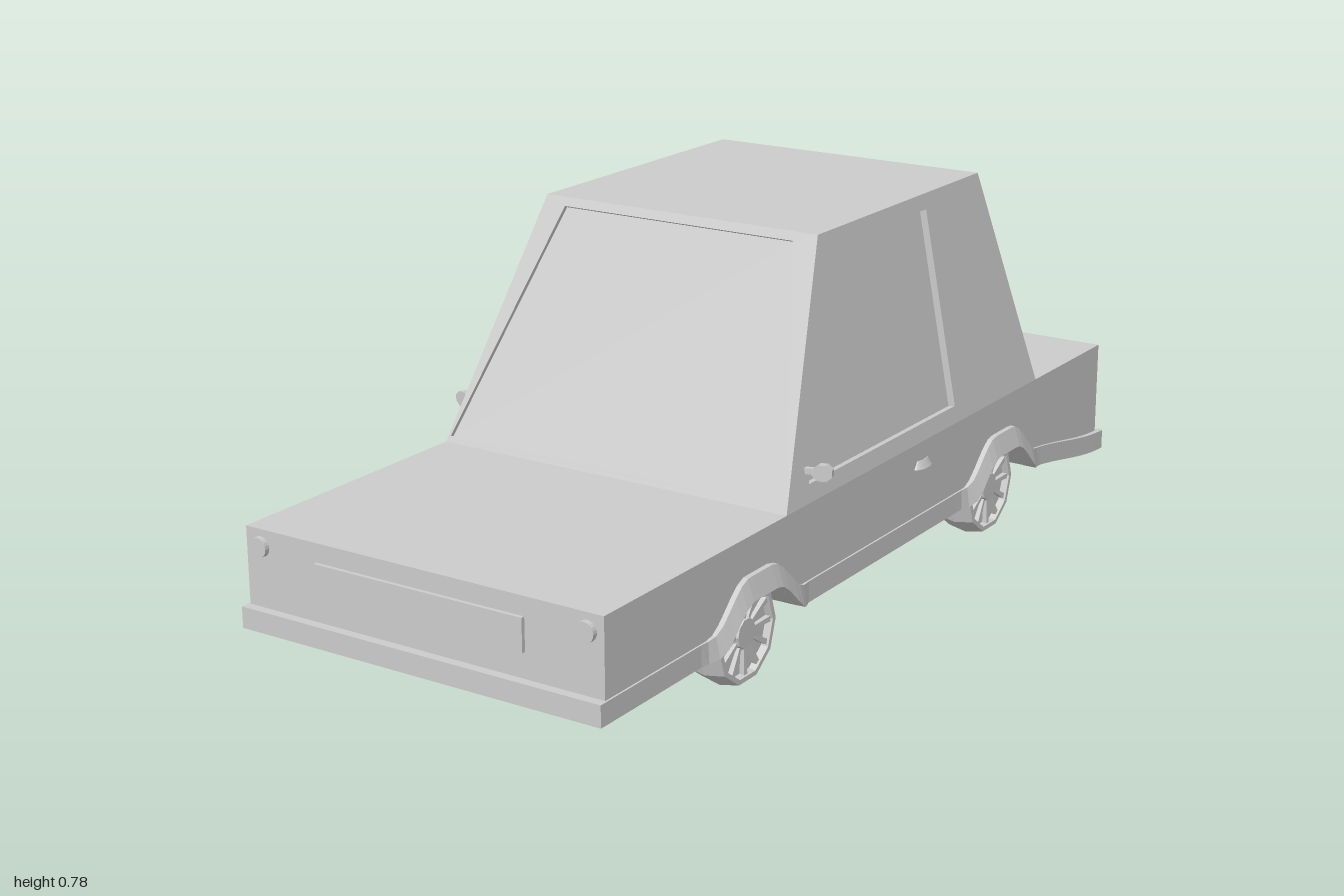
import * as THREE from 'three';

const mat = new THREE.MeshStandardMaterial({ color: 0xcccccc, flatShading: true });
const openMat = new THREE.MeshStandardMaterial({ color: 0xcccccc, flatShading: true, side: THREE.DoubleSide });
const axleZ = [0.5, -0.48];
const ease = (t) => THREE.MathUtils.smoothstep(t, 0, 1);
const wheelDist = (z) => Math.min(...axleZ.map((a) => Math.abs(z - a)));

// Lower edge of the body: flat, dropping towards the tail, lifted over the wheels
const tail = (z) => ease((-0.58 - z) / 0.42);
const floorY = (z) => 0.112 - 0.052 * tail(z);
const sillY = (z) => floorY(z) + 0.082 * ease((0.165 - wheelDist(z)) / 0.125);

function add(parent, name, geometry, x = 0, y = 0, z = 0, material = mat) {
  const mesh = new THREE.Mesh(geometry, material);
  mesh.name = name;
  mesh.position.set(x, y, z);
  parent.add(mesh);
  return mesh;
}

function box(parent, name, x0, x1, y0, y1, z0, z1) {
  return add(parent, name, new THREE.BoxGeometry(x1 - x0, y1 - y0, z1 - z0),
    (x0 + x1) / 2, (y0 + y1) / 2, (z0 + z1) / 2);
}

// Geometry from quads, each with its corners anticlockwise from outside
function fromQuads(quads) {
  const pos = [];
  for (const [a, b, c, d] of quads) for (const p of [a, b, c, a, c, d]) pos.push(...p);
  const g = new THREE.BufferGeometry();
  g.setAttribute('position', new THREE.Float32BufferAttribute(pos, 3));
  g.computeVertexNormals();
  return g;
}

// Slice of the body between two x positions, cut from its side profile
function bodySlice(x0, x1, lower) {
  const pts = [[0.981, 0.31], [-0.968, 0.31]];
  const n = 96;
  for (let i = 0; i <= n; i++) {
    const z = -0.968 + (1.949 * i) / n;
    pts.push([z, lower(z)]);
  }
  const shape = new THREE.Shape(pts.map((p) => new THREE.Vector2(...p)));
  const g = new THREE.ExtrudeGeometry(shape, { depth: x1 - x0, bevelEnabled: false });
  return g.rotateY(-Math.PI / 2).translate(x1, 0, 0);
}

// Trim strip along one side, flaring outwards around the wheels
function sillStrip(s) {
  const rings = [];
  const n = 96;
  for (let i = 0; i <= n; i++) {
    const z = -0.983 + (1.983 * i) / n;
    const y = sillY(z);
    const flare = 0.02 * ease((0.185 - wheelDist(z)) / 0.06);
    const w = 0.409 + 0.008 * tail(z);
    const ring = [[0.39, y, z], [w + flare, y, z], [w + flare * 0.35, y + 0.043, z], [0.39, y + 0.043, z]];
    rings.push(s > 0 ? ring : ring.map(([x, b, c]) => [-x, b, c]).reverse());
  }
  const quads = [[...rings[0]].reverse(), rings[n]];
  for (let i = 0; i < n; i++) for (let j = 0; j < 4; j++) {
    const k = (j + 1) % 4;
    quads.push([rings[i][j], rings[i][k], rings[i + 1][k], rings[i + 1][j]]);
  }
  return fromQuads(quads);
}

// Cabin wall with a recessed window
function windowPanel(outer, hole, depth) {
  const v = outer.map((p) => new THREE.Vector3(...p));
  const normal = v[1].clone().sub(v[0]).cross(v[3].clone().sub(v[0])).normalize();
  const inner = hole.map((p) => new THREE.Vector3(...p).addScaledVector(normal, -depth).toArray());
  const quads = [inner];
  for (let i = 0; i < 4; i++) {
    const k = (i + 1) % 4;
    quads.push([outer[i], outer[k], hole[k], hole[i]], [hole[i], hole[k], inner[k], inner[i]]);
  }
  return fromQuads(quads);
}

// Bowed pull handle, facing +z, narrower and closer to the body at its top
function pullHandle(width, height, out) {
  const outer = [], inner = [];
  for (let i = 0; i <= 8; i++) {
    const a = (Math.PI * i) / 8;
    const x = (Math.cos(a) * width) / 2;
    outer.push(new THREE.Vector2(x, out * Math.sin(a)));
    inner.unshift(new THREE.Vector2(x * 0.88, out * 0.72 * Math.sin(a)));
  }
  const g = new THREE.ExtrudeGeometry(new THREE.Shape([...outer, ...inner]), { depth: height, bevelEnabled: false });
  g.rotateX(Math.PI / 2);
  const p = g.attributes.position;
  for (let i = 0; i < p.count; i++) {
    const top = 1 + p.getY(i) / height;
    p.setX(i, p.getX(i) * (1 - 0.33 * top));
    p.setZ(i, p.getZ(i) * (1 - 0.55 * top));
  }
  g.computeVertexNormals();
  return g.translate(0, height / 2, 0);
}

// Ten-sided wheel whose outer face looks along +x
function makeWheel() {
  const wheel = new THREE.Group();
  const profile = [[0, -0.041], [0.098, -0.041], [0.106, 0], [0.098, 0.041], [0.088, 0.041], [0.086, 0.026], [0, 0.026]];
  const tyre = new THREE.LatheGeometry(profile.map((p) => new THREE.Vector2(...p)), 10);
  add(wheel, 'tyre', tyre.rotateZ(-Math.PI / 2));
  add(wheel, 'hub', new THREE.CylinderGeometry(0.03, 0.034, 0.014, 10).rotateZ(-Math.PI / 2), 0.032);
  for (let i = 0; i < 12; i++) {
    const spoke = new THREE.CylinderGeometry(0.008, 0.005, 0.06, 4).rotateY(Math.PI / 4);
    spoke.translate(0, 0.057, 0).rotateX((i / 12) * Math.PI * 2);
    add(wheel, 'spoke', spoke, 0.031);
  }
  return wheel;
}

export function createModel() {
  const car = new THREE.Group();
  car.name = 'car';

  // Lower body: middle section, and side sections with wheel arches
  add(car, 'bodyCentre', bodySlice(-0.25, 0.25, floorY));
  add(car, 'bodySideLeft', bodySlice(0.25, 0.405, sillY));
  add(car, 'bodySideRight', bodySlice(-0.405, -0.25, sillY));

  // Bumpers and side trim
  box(car, 'frontBumper', -0.4, 0.4, 0.112, 0.155, 0.96, 1.0);
  box(car, 'rearBumper', -0.41, 0.41, 0.06, 0.104, -0.983, -0.95);
  add(car, 'sideTrimLeft', sillStrip(1));
  add(car, 'sideTrimRight', sillStrip(-1));

  // Cabin
  const cabin = new THREE.Group();
  cabin.name = 'cabin';
  car.add(cabin);
  const y0 = 0.31, y1 = 0.787;
  const at = (y, a, b) => a + ((b - a) * (y - y0)) / (y1 - y0);
  const front = (x, y) => [x, y, at(y, 0.395, 0.15)];
  const back = (x, y) => [x, y, at(y, -0.645, -0.505)];
  const side = (z, y) => [at(y, 0.405, 0.32), y, z];
  const flip = ([a, b, c, d]) => [b, a, d, c].map(([x, y, z]) => [-x, y, z]);

  add(cabin, 'windshield', windowPanel(
    [front(-0.405, y0), front(0.405, y0), front(0.32, y1), front(-0.32, y1)],
    [front(-0.397, 0.322), front(0.397, 0.322), front(0.27, 0.77), front(-0.27, 0.77)], 0.008));
  add(cabin, 'rearWindow', windowPanel(
    [back(0.405, y0), back(-0.405, y0), back(-0.32, y1), back(0.32, y1)],
    [back(0.365, 0.405), back(-0.365, 0.405), back(-0.305, 0.755), back(0.305, 0.755)], 0.015));
  const wall = [side(0.395, y0), side(-0.645, y0), side(-0.505, y1), side(0.15, y1)];
  const pane = [side(0.305, 0.345), side(-0.28, 0.345), side(-0.27, 0.755), side(0.085, 0.755)];
  add(cabin, 'sideWindowLeft', windowPanel(wall, pane, 0.015));
  add(cabin, 'sideWindowRight', windowPanel(flip(wall), flip(pane), 0.015));
  add(cabin, 'roof', fromQuads([[front(-0.32, y1), front(0.32, y1), back(0.32, y1), back(-0.32, y1)]]), 0, 0, 0, openMat);

  // Front and rear fittings
  box(car, 'grille', -0.236, 0.236, 0.206, 0.272, 0.97, 0.989);
  box(car, 'rearPlate', -0.095, 0.095, 0.12, 0.18, -0.984, -0.96);
  add(car, 'trunkHandle', pullHandle(0.185, 0.05, 0.034).rotateY(Math.PI), 0, 0.265, -0.966);

  for (const s of [1, -1]) {
    const label = s > 0 ? 'Left' : 'Right';
    add(car, 'headlight' + label, new THREE.CylinderGeometry(0.02, 0.02, 0.02, 20).rotateX(Math.PI / 2), s * 0.37, 0.276, 0.982);
    box(car, 'tailLight' + label, s * 0.357 - 0.042, s * 0.357 + 0.042, 0.235, 0.295, -0.975, -0.96);
    add(car, 'doorHandle' + label, pullHandle(0.066, 0.016, 0.015).rotateY((s * Math.PI) / 2), s * 0.404, 0.265, -0.132);

    // Door mirror on a short stem
    const mirror = new THREE.Group();
    mirror.name = 'mirror' + label;
    mirror.position.set(s * 0.427, 0.373, 0.3);
    mirror.rotation.y = s * 0.25;
    const head = new THREE.CylinderGeometry(0.0215, 0.0195, 0.02, 8);
    head.rotateY(Math.PI / 8).rotateX(Math.PI / 2).scale(1, 0.8, 1);
    add(mirror, 'mirrorHead', head);
    add(mirror, 'mirrorStem', new THREE.BoxGeometry(0.03, 0.012, 0.01), -s * 0.025);
    car.add(mirror);
  }

  // Wheels and axles
  axleZ.forEach((z, i) => {
    const end = i ? 'rear' : 'front';
    add(car, end + 'Axle', new THREE.CylinderGeometry(0.008, 0.008, 0.64, 8).rotateZ(Math.PI / 2), 0, 0.106, z);
    for (const s of [1, -1]) {
      const wheel = makeWheel();
      wheel.name = end + 'Wheel' + (s > 0 ? 'Left' : 'Right');
      wheel.position.set(s * 0.346, 0.106, z);
      if (s < 0) wheel.rotation.y = Math.PI;
      car.add(wheel);
    }
  });
  return car;
}
